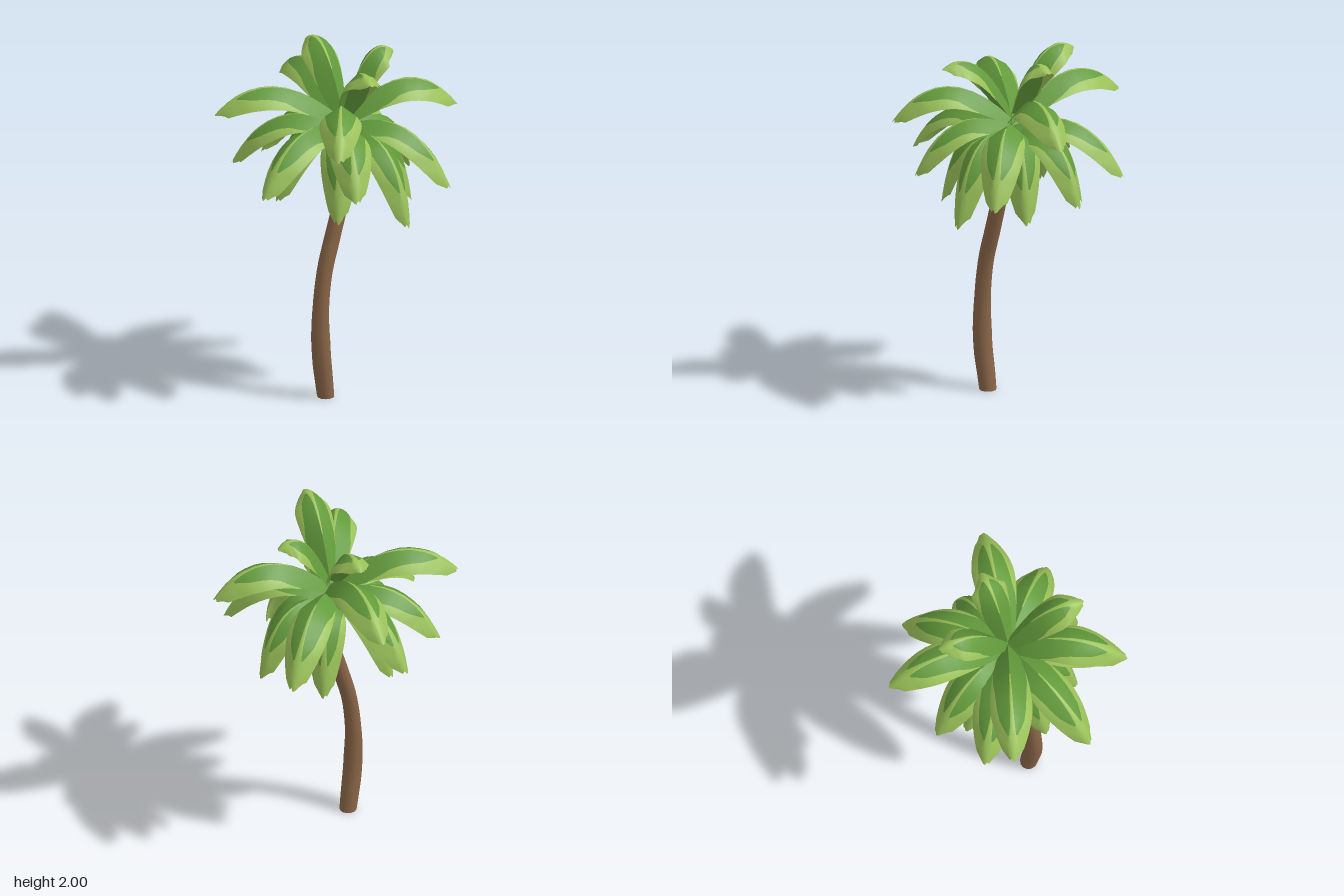
import * as THREE from 'three';

const mat = (name, color, side = THREE.FrontSide) => {
  const m = new THREE.MeshStandardMaterial({ color, side });
  m.name = name;
  return m;
};

// Frond rows: t along the frond, half width, edge of the dark patch, half width of the light midrib
const ROWS = [
  [0, 0.045, 1, 0.01], [0.1, 0.072, 1, 0.01], [0.2, 0.092, 0.98, 0.012], [0.3, 0.106, 0.9, 0.03],
  [0.4, 0.114, 0.78, 0.05], [0.5, 0.118, 0.72, 0.07], [0.6, 0.117, 0.68, 0.08], [0.7, 0.11, 0.62, 0.11],
  [0.76, 0.102, 0.48, 0.15], [0.81, 0.094, 0.3, 0.2], [0.88, 0.078, 0.5, 0.2], [0.94, 0.06, 0.5, 0.2],
  [1, 0.04, 0.55, 0.25],
];
const PATCH_END = 9;
const JAG = [0.045, 0.02, 0.005, 0, 0.02, 0.01, 0.04]; // ragged tip

// Curved sheet that follows a bezier from the crown to the tip, with edges arched down
function frondGeometry(base, ctrl, tip, width, droop, flip) {
  const curve = new THREE.QuadraticBezierCurve3(base, ctrl, tip);
  const out = tip.clone().sub(base).setY(0).normalize();
  const side = out.clone().cross(new THREE.Vector3(0, 1, 0));
  const pos = [], light = [], dark = [];
  ROWS.forEach(([t, w, e, m], i) => {
    [-1, -e, -m, 0, m, e, 1].forEach((s, j) => {
      const jag = i === ROWS.length - 1 ? JAG[flip ? 6 - j : j] : 0;
      const p = curve.getPoint(t - jag);
      const up = side.clone().cross(curve.getTangent(t));
      const hw = w * width;
      p.addScaledVector(side, s * hw).addScaledVector(up, -droop * hw * s * s);
      pos.push(p.x, p.y, p.z);
    });
  });
  for (let i = 0; i < ROWS.length - 1; i++) {
    for (let j = 0; j < 6; j++) {
      const a = i * 7 + j, c = a + 7;
      const isDark = i < PATCH_END && (j === 1 || j === 4 || i < 2 || (i < 3 && j > 0 && j < 5));
      (isDark ? dark : light).push(a, a + 1, c, a + 1, c + 1, c);
    }
  }
  const g = new THREE.BufferGeometry();
  g.setAttribute('position', new THREE.Float32BufferAttribute(pos, 3));
  g.setIndex([...light, ...dark]);
  g.addGroup(0, light.length, 0);
  g.addGroup(light.length, dark.length, 1);
  g.computeVertexNormals();
  return g;
}

// Tapered tube: unit tube whose rings are rescaled along the path
function trunkGeometry(points, radii) {
  const path = new THREE.CatmullRomCurve3(points.map(p => new THREE.Vector3(...p)));
  const seg = 32, sides = 12;
  const g = new THREE.TubeGeometry(path, seg, 1, sides, false);
  const p = g.attributes.position, v = new THREE.Vector3();
  for (let i = 0; i <= seg; i++) {
    const u = i / seg, c = path.getPointAt(u);
    const k = u * (radii.length - 1), n = Math.min(Math.floor(k), radii.length - 2);
    const r = THREE.MathUtils.lerp(radii[n], radii[n + 1], k - n);
    for (let j = 0; j <= sides; j++) {
      const id = i * (sides + 1) + j;
      v.fromBufferAttribute(p, id).sub(c).multiplyScalar(r).add(c);
      p.setXYZ(id, v.x, i === 0 ? 0 : Math.max(0, v.y), v.z);
    }
  }
  return g;
}

export function createModel() {
  const tree = new THREE.Group();
  tree.name = 'palmTree';
  const bark = mat('bark', 0x8a6648);
  const leafMats = [
    mat('lightLeaf', 0x9bc25a, THREE.DoubleSide),
    mat('darkLeaf', 0x639b3c, THREE.DoubleSide),
  ];

  // Trunk
  const trunk = new THREE.Mesh(trunkGeometry([
    [-0.13, 0, 0.13], [-0.143, 0.1, 0.134], [-0.162, 0.25, 0.142], [-0.168, 0.5, 0.142], [-0.14, 0.75, 0.137],
    [-0.085, 0.95, 0.127], [-0.03, 1.15, 0.118], [0, 1.35, 0.1], [-0.008, 1.47, 0.085], [0.005, 1.57, 0.07],
  ], [0.048, 0.053, 0.053, 0.046, 0.044, 0.045, 0.044, 0.042, 0.032, 0.025]), bark);
  trunk.name = 'trunk';
  const foot = new THREE.Mesh(new THREE.CircleGeometry(0.048, 12), bark);
  foot.name = 'trunkFoot';
  foot.rotation.x = Math.PI / 2;
  foot.position.set(-0.13, 0, 0.13);
  tree.add(trunk, foot);

  // Frond tiers: base height, control height and reach, width, edge droop, tips
  const tiers = [
    { name: 'topFrond', y: 1.64, cy: 2.11, reach: 0.5, width: 0.88, droop: 0.85, tips: [
      [-0.03, 1.965, 0.5], [0, 1.955, -0.355], [0.34, 1.955, 0.03],
    ] },
    { name: 'upperFrond', y: 1.61, cy: 2.01, reach: 0.58, width: 1, droop: 0.8, tips: [
      [0, 1.66, -0.655], [0.67, 1.62, 0.17], [-0.67, 1.67, -0.17], [-0.31, 1.61, 0.65],
    ] },
    { name: 'middleFrond', y: 1.57, cy: 1.77, reach: 0.66, width: 1, droop: 0.7, tips: [
      [0.44, 1.3, -0.4], [-0.61, 1.32, 0.31], [0.47, 1.26, 0.48], [-0.51, 1.32, -0.28],
      [-0.23, 1.27, -0.46], [-0.17, 1.32, 0.59],
    ] },
    { name: 'lowerFrond', y: 1.54, cy: 1.71, reach: 0.82, width: 0.92, droop: 0.7, tips: [
      [0.18, 1.095, 0.54], [0.37, 1.105, 0.2], [0.49, 1.19, -0.07], [0.2, 1.105, -0.28],
      [-0.22, 1.13, -0.28], [-0.43, 1.215, 0.12], [-0.19, 1.13, 0.4],
    ] },
  ];
  const crown = new THREE.Group();
  crown.name = 'crown';
  for (const tier of tiers) {
    tier.tips.forEach((t, i) => {
      const tip = new THREE.Vector3(...t);
      const base = new THREE.Vector3(0.01, tier.y, 0.06);
      const ctrl = base.clone().lerp(tip, tier.reach).setY(tier.cy);
      const frond = new THREE.Mesh(frondGeometry(base, ctrl, tip, tier.width, tier.droop, i % 2), leafMats);
      frond.name = `${tier.name}${i + 1}`;
      crown.add(frond);
    });
  }
  tree.add(crown);
  return tree;
}
